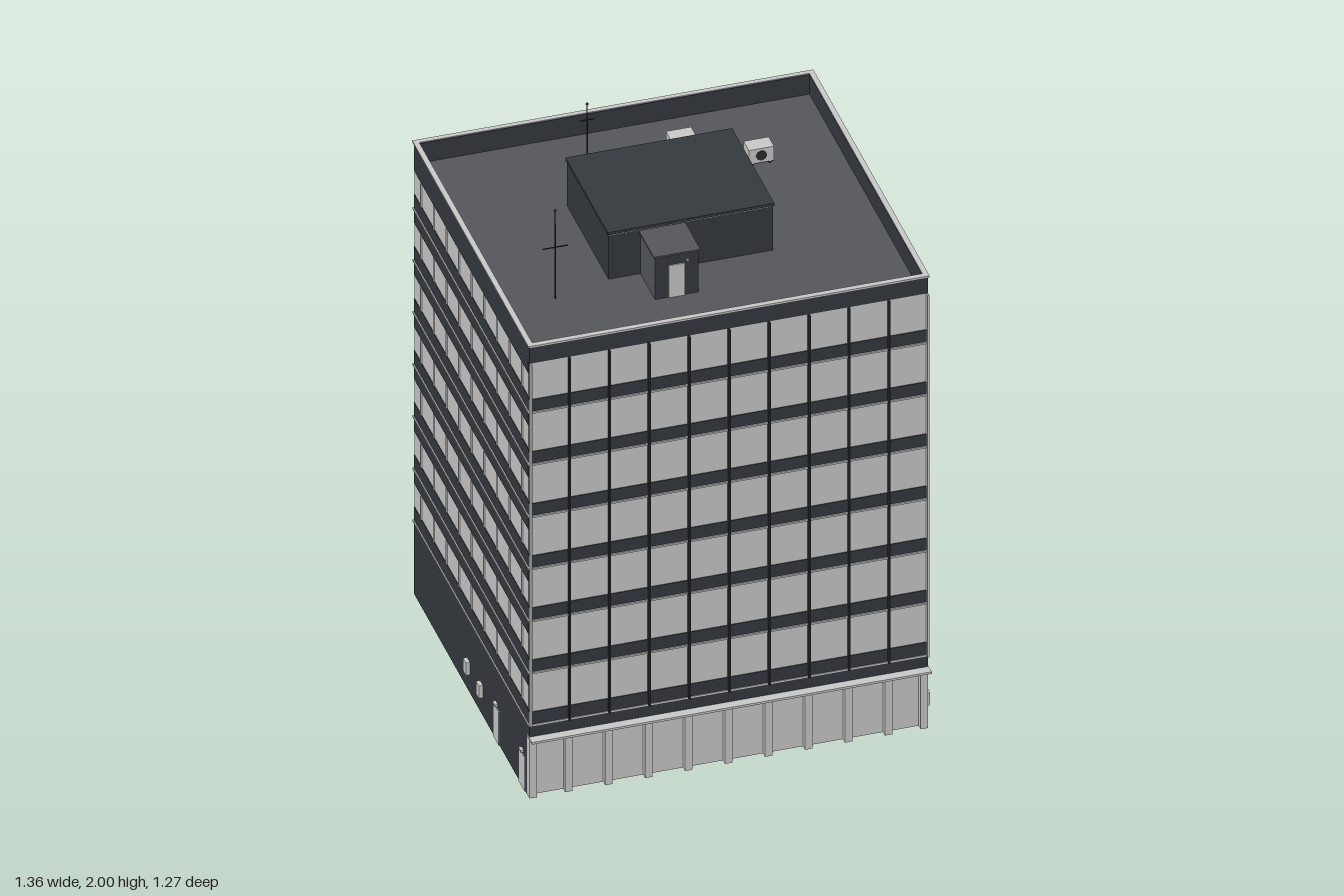
import * as THREE from 'three';

const mat = (color) => new THREE.MeshStandardMaterial({ color });

export function createModel() {
  const root = new THREE.Group();
  root.name = 'officeBlock';
  const dark = mat(0x353a3f), roofGrey = mat(0x55585c), light = mat(0xcccccc), black = mat(0x2a2c2e);
  const W = 0.665, F = 0.603, B = -0.617, T = 0.015;

  const group = (name) => {
    const g = new THREE.Group();
    g.name = name;
    root.add(g);
    return g;
  };
  // Box given by its extents
  const box = (parent, name, material, x0, x1, y0, y1, z0, z1) => {
    const m = new THREE.Mesh(new THREE.BoxGeometry(x1 - x0, y1 - y0, z1 - z0), material);
    m.position.set((x0 + x1) / 2, (y0 + y1) / 2, (z0 + z1) / 2);
    m.name = name;
    parent.add(m);
    return m;
  };
  // Wall band over the two sides and the back
  const sideBand = (parent, name, material, y0, y1, inset = 0, backOut = 0) => {
    for (const s of [-1, 1]) {
      const a = s * (W - inset), b = s * (W - T);
      box(parent, name, material, Math.min(a, b), Math.max(a, b), y0, y1, B + inset, F - T);
    }
    box(parent, name, material, -W + T, W - T, y0, y1, B - backOut, B + T);
  };
  const frontBand = (parent, name, material, y0, y1, inset = 0) =>
    box(parent, name, material, -W + inset, W - inset, y0, y1, F - T, F - inset);

  // Hollow shell: dark spandrels
  const walls = group('walls');
  sideBand(walls, 'groundWall', dark, 0, 0.335);
  frontBand(walls, 'frontFascia', dark, 0.235, 0.33);
  for (let k = 0; k < 6; k++) {
    sideBand(walls, 'sideSpandrel', dark, 0.425 + 0.2 * k, 0.535 + 0.2 * k);
    frontBand(walls, 'frontSpandrel', dark, 0.485 + 0.2 * k, 0.53 + 0.2 * k);
  }
  sideBand(walls, 'sideParapet', dark, 1.625, 1.735);
  frontBand(walls, 'frontParapet', dark, 1.67, 1.735);

  // Window strips on seven floors with slim dividers
  const windows = group('windows');
  for (let k = 0; k < 7; k++) {
    const y = 0.2 * k, y0 = 0.335 + y, y1 = 0.425 + y;
    sideBand(windows, 'sideWindows', light, y0, y1, 0.002, 0.003);
    frontBand(windows, 'frontWindows', light, 0.33 + y, Math.min(0.485 + y, 1.67), 0.003);
    for (let i = -4; i <= 4; i++) {
      const x = i * 0.133, z = -0.007 + i * 0.133;
      box(windows, 'windowDivider', light, x - 0.002, x + 0.002, y0, y1, B - 0.006, B);
      for (const s of [-1, 1])
        box(windows, 'windowDivider', light, s * W - 0.003, s * W + 0.003, y0, y1, z - 0.002, z + 0.002);
    }
  }

  // Thin floor ledges running round the building
  const ledges = group('floorLedges');
  for (let k = 0; k < 7; k++) {
    const y = 0.277 + 0.2 * k, h = y + 0.006;
    for (const s of [-1, 1])
      box(ledges, 'sideLedge', light, s * W - 0.004, s * W + 0.004, y, h, B - 0.004, F + 0.002);
    box(ledges, 'backLedge', light, -W, W, y, h, B - 0.004, B + 0.004);
    box(ledges, 'frontLedge', light, -W, W, y, h, F - 0.004, F + 0.002);
  }

  // Front mullions, with pale trims at both ends
  const mullions = group('frontMullions');
  for (let i = -4; i <= 4; i++) {
    const x = i * 0.1333;
    box(mullions, 'mullion', black, x - 0.003, x + 0.003, 0.28, 1.67, F - 0.004, 0.615);
  }
  for (const s of [-1, 1])
    box(mullions, 'endTrim', light, s * 0.662 - 0.003, s * 0.662 + 0.003, 0.28, 1.67, F - 0.002, 0.617);

  // Glazed ground floor with piers and a canopy
  const lobby = group('shopfront');
  box(lobby, 'lobbyGlass', light, -W + T, W - T, 0, 0.235, 0.575, 0.582);
  for (let i = -5; i <= 5; i++) {
    const x = Math.max(-W + 0.0125, Math.min(W - 0.0125, i * 0.1333));
    box(lobby, 'pier', light, x - 0.0125, x + 0.0125, 0, 0.235, 0.575, F);
  }
  box(lobby, 'canopy', light, -W - 0.002, W + 0.002, 0.228, 0.236, 0.58, 0.635);

  // Doors with lamps, and small vents, on the plain ground walls
  const fittings = group('groundFittings');
  const onWall = (side, pos, name, half, y0, y1, out) => {
    if (side === 0) box(fittings, name, light, pos - half, pos + half, y0, y1, B - out, B + 0.002);
    else box(fittings, name, light, side > 0 ? W - 0.002 : -W - out, side > 0 ? W + out : -W + 0.002,
      y0, y1, pos - half, pos + half);
  };
  const vents = [[1, 0.565], [1, 0.293], [1, -0.115], [1, -0.387], [-1, -0.04], [-1, 0.097],
    [0, 0.495], [0, 0.227], [0, 0.092]];
  const doors = [[1, -0.28], [-1, 0.257], [-1, 0.53], [0, -0.067], [0, -0.335], [0, -0.6]];
  for (const [s, p] of vents) onWall(s, p, 'vent', 0.015, 0.07, 0.118, 0.014);
  for (const [s, p] of doors) {
    onWall(s, p, 'door', 0.031, 0, 0.13, 0.003);
    onWall(s, p, 'doorLamp', 0.012, 0.138, 0.146, 0.01);
  }

  // Roof slab and parapet capping
  const roof = group('roof');
  box(roof, 'roofSlab', roofGrey, -W + T, W - T, 1.645, 1.66, B + T, F - T);
  for (const s of [-1, 1])
    box(roof, 'parapetCap', light, s * 0.66 - 0.009, s * 0.66 + 0.009, 1.732, 1.738, B - 0.005, F + 0.003);
  box(roof, 'parapetCap', light, -0.651, 0.651, 1.732, 1.738, B - 0.005, B + 0.012);
  box(roof, 'parapetCap', light, -0.651, 0.651, 1.732, 1.738, F - 0.016, F + 0.003);

  // Plant room and stair hut
  const plant = group('plantRoom');
  box(plant, 'plantWalls', dark, -0.276, 0.272, 1.66, 1.828, -0.232, 0.207);
  box(plant, 'plantRoofEdge', light, -0.276, 0.272, 1.828, 1.832, -0.232, 0.207);
  box(plant, 'plantRoof', dark, -0.28, 0.276, 1.832, 1.842, -0.236, 0.211);
  box(plant, 'stairHut', roofGrey, -0.17, -0.025, 1.66, 1.82, 0.2, 0.36);
  box(plant, 'stairHutFront', dark, -0.17, -0.025, 1.66, 1.82, 0.36, 0.362);
  box(plant, 'stairHutRoof', roofGrey, -0.175, -0.02, 1.82, 1.826, 0.2, 0.366);
  box(plant, 'stairDoor', light, -0.125, -0.072, 1.66, 1.783, 0.36, 0.366);
  box(plant, 'stairDoorLamp', light, -0.066, -0.058, 1.788, 1.796, 0.36, 0.368);

  // Air conditioning units on low feet
  const units = group('airConditioners');
  for (const [x, z] of [[0.165, -0.423], [0.136, -0.262], [0.384, -0.295]]) {
    box(units, 'unitBody', light, x - 0.042, x + 0.042, 1.668, 1.722, z - 0.028, z + 0.028);
    for (const s of [-1, 1])
      box(units, 'unitFoot', black, x + s * 0.03 - 0.005, x + s * 0.03 + 0.005, 1.66, 1.668, z - 0.025, z + 0.025);
    const fan = new THREE.Mesh(new THREE.CylinderGeometry(0.018, 0.018, 0.003, 16), black);
    fan.rotation.x = Math.PI / 2;
    fan.position.set(x, 1.695, z + 0.028);
    fan.name = 'unitFan';
    units.add(fan);
  }

  // Masts with cross arms
  const masts = group('masts');
  for (const [x, z, top, arm] of [[-0.47, 0.257, 1.995, 0.042], [-0.155, -0.402, 1.915, 0.025]]) {
    const pole = new THREE.Mesh(new THREE.CylinderGeometry(0.0018, 0.003, top - 1.66, 8), black);
    pole.position.set(x, (top + 1.66) / 2, z);
    pole.name = 'mastPole';
    const tip = new THREE.Mesh(new THREE.SphereGeometry(0.005, 8, 6), black);
    tip.position.set(x, top, z);
    tip.name = 'mastTip';
    masts.add(pole, tip);
    box(masts, 'mastArm', black, x - arm, x + arm, 1.853, 1.856, z - 0.0015, z + 0.0015);
  }
  return root;
}
